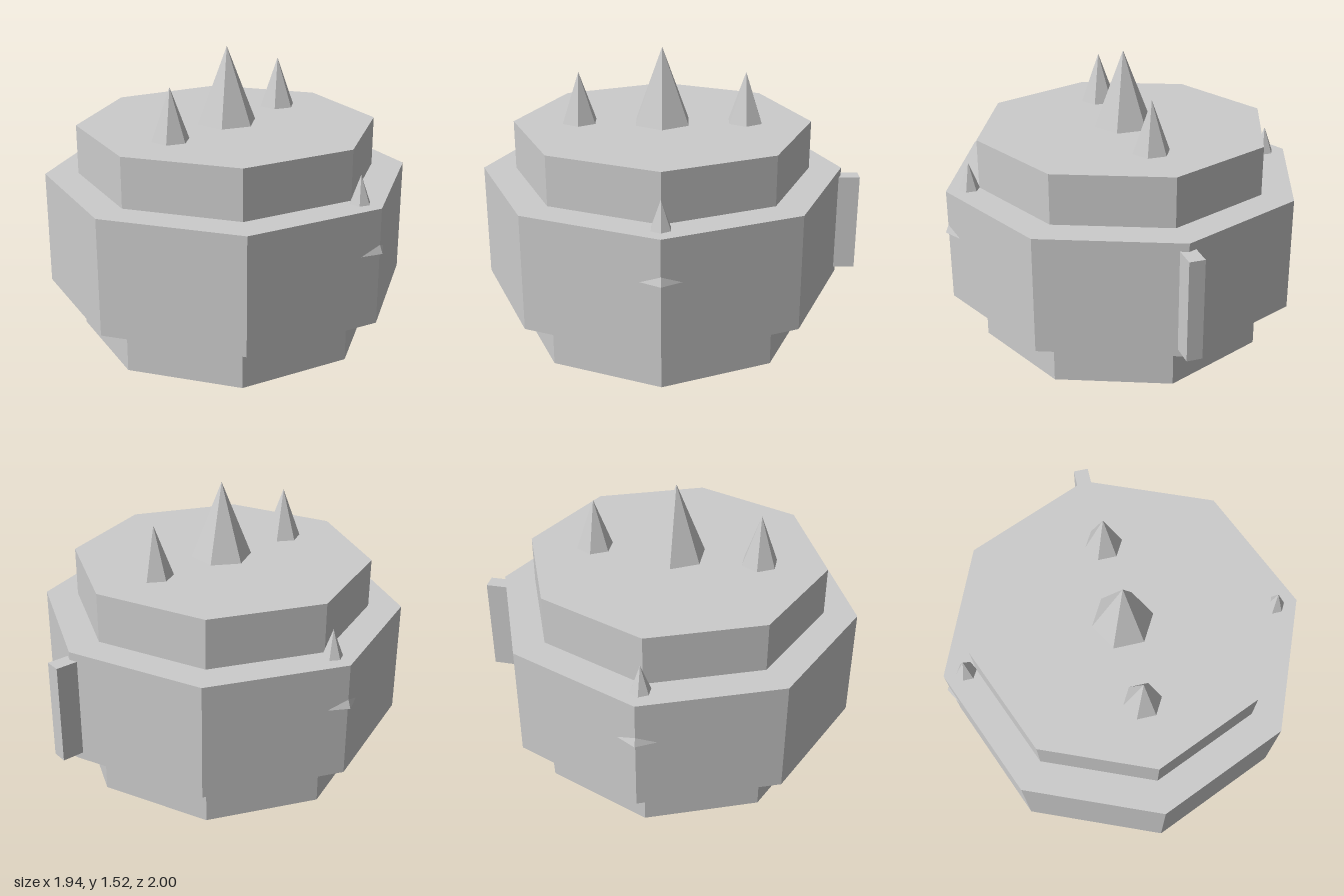
import * as THREE from 'three';

const CZ = 0.048; // centre of the body in z

export function createModel() {
  const model = new THREE.Group();
  const material = new THREE.MeshStandardMaterial({ color: 0xcccccc, flatShading: true });

  const add = (name, geometry, x, y, z) => {
    const mesh = new THREE.Mesh(geometry, material);
    mesh.name = name;
    mesh.position.set(x, y, z);
    model.add(mesh);
  };

  // Octagonal prism standing between two heights, a corner facing front
  const prism = (name, radius, y0, y1) =>
    add(name, new THREE.CylinderGeometry(radius, radius, y1 - y0, 8), 0, (y0 + y1) / 2, CZ);

  // Six-sided spike with corners facing left and right
  const spike = (name, radius, y0, y1, x, z) => {
    const cone = new THREE.ConeGeometry(radius, y1 - y0, 6).rotateY(Math.PI / 6);
    add(name, cone, x, (y0 + y1) / 2, z);
  };

  // Inner core and the wide outer band
  prism('core', 0.78, 0, 1.125);
  prism('outerBand', 0.952, 0.265, 0.867);

  // Row of spikes along the top
  spike('centreSpike', 0.158, 1.125, 1.522, 0, CZ);
  spike('frontSpike', 0.097, 1.125, 1.39, 0, CZ + 0.433);
  spike('backSpike', 0.097, 1.125, 1.39, 0, CZ - 0.433);

  // Side spikes rise through the band, their base corners just poking out
  for (const side of [-1, 1]) {
    spike(side > 0 ? 'leftSpike' : 'rightSpike', 0.138, 0.638, 1.01, side * 0.83, CZ);
  }

  // Upright bar set into the back corner
  add('backBar', new THREE.BoxGeometry(0.08, 0.52, 0.15), 0, 0.565, -0.925);

  return model;
}
